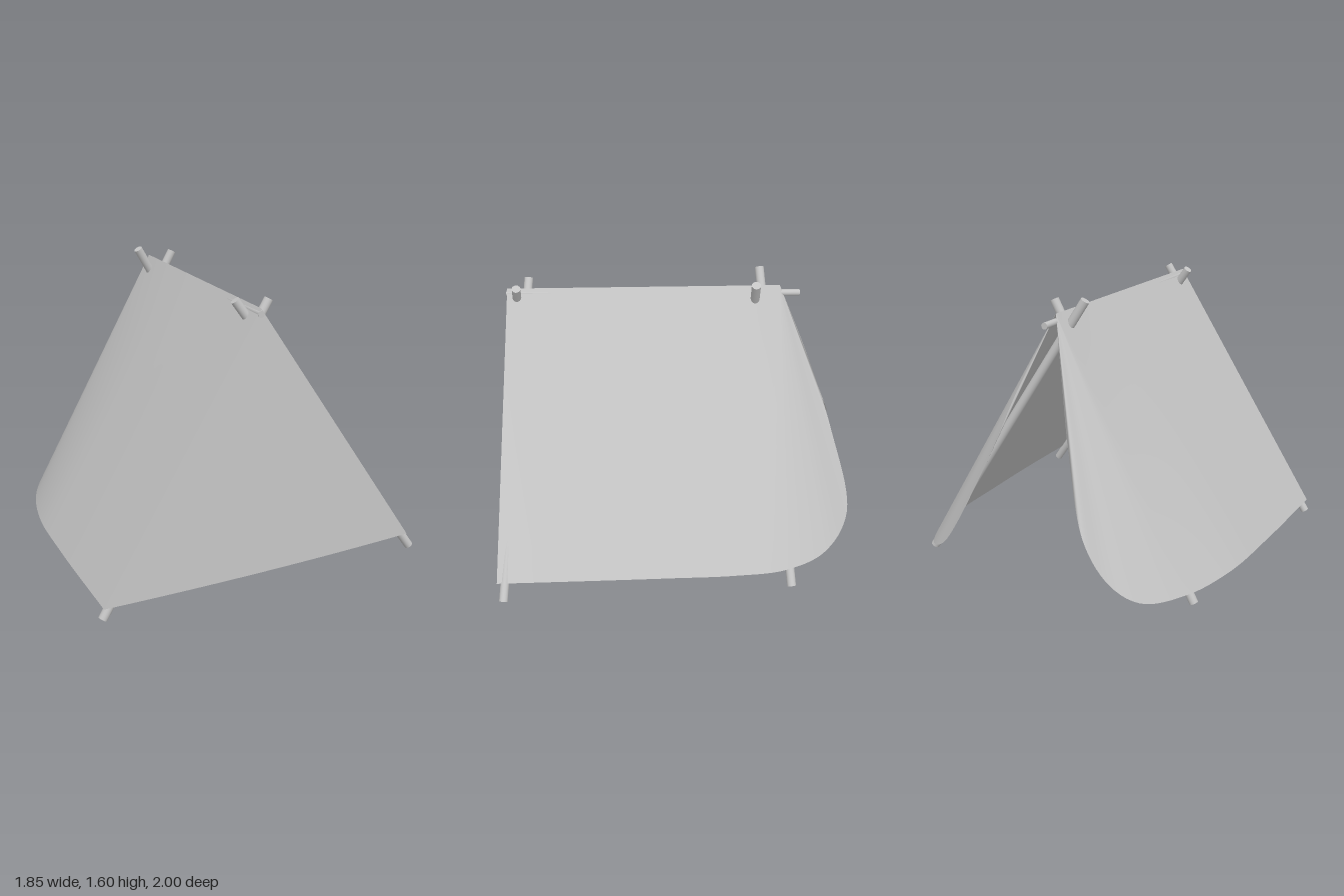
import * as THREE from 'three';

const V = (x, y, z) => new THREE.Vector3(x, y, z);
const RIDGE_FRONT = V(-0.03, 1.515, 0.91);
const RIDGE_BACK = V(-0.05, 1.535, -0.59);

// Straight lines of cloth stretched from a row of top points to a row of hem points
function ruledSurface(tops, hems, rows, flip) {
  const pos = [], idx = [], p = V();
  for (let i = 0; i < hems.length; i++) {
    for (let j = 0; j <= rows; j++) {
      p.lerpVectors(tops[i], hems[i], j / rows);
      pos.push(p.x, p.y, p.z);
      if (i < hems.length - 1 && j < rows) {
        const a = i * (rows + 1) + j, b = a + rows + 1;
        if (flip) idx.push(a, a + 1, b, b, a + 1, b + 1);
        else idx.push(a, b, a + 1, b, b + 1, a + 1);
      }
    }
  }
  const geo = new THREE.BufferGeometry();
  geo.setAttribute('position', new THREE.Float32BufferAttribute(pos, 3));
  geo.setIndex(idx);
  geo.computeVertexNormals();
  return geo;
}

// Side cloth: flat along the ridge, then a cone from the ridge end that curls inwards
function sideGeometry(hemPoints, flip) {
  const curve = new THREE.CatmullRomCurve3([...hemPoints.map((p) => V(...p)), RIDGE_BACK], false, 'centripetal');
  const hems = curve.getSpacedPoints(90);
  let z = RIDGE_FRONT.z;
  const tops = hems.map((h) => {
    z = Math.max(RIDGE_BACK.z, Math.min(z, h.z * 0.97));
    const t = (RIDGE_FRONT.z - z) / (RIDGE_FRONT.z - RIDGE_BACK.z);
    return V().lerpVectors(RIDGE_FRONT, RIDGE_BACK, t);
  });
  return ruledSurface(tops, hems, 8, flip);
}

// Round pole between two points
function pole(a, b, radius, material, name) {
  const dir = V().subVectors(b, a);
  const mesh = new THREE.Mesh(new THREE.CylinderGeometry(radius, radius, dir.length(), 16), material);
  mesh.position.addVectors(a, b).multiplyScalar(0.5);
  mesh.quaternion.setFromUnitVectors(V(0, 1, 0), dir.normalize());
  mesh.name = name;
  return mesh;
}

export function createModel() {
  const group = new THREE.Group();
  group.name = 'tent';
  const grey = new THREE.MeshStandardMaterial({ color: 0xc4c4c4, side: THREE.DoubleSide });
  grey.name = 'plain grey';

  const add = (geo, name) => {
    const mesh = new THREE.Mesh(geo, grey);
    mesh.name = name;
    group.add(mesh);
  };

  // Side cloths, hem listed from the front corner round to the back opening
  const leftHem = [
    [0.87, 0.175, 0.945], [0.845, 0.18, 0.4], [0.82, 0.18, 0], [0.795, 0.18, -0.35],
    [0.74, 0.18, -0.64], [0.6, 0.205, -0.87], [0.4, 0.33, -1.0], [0.2, 0.76, -0.9], [0.08, 1.16, -0.755],
  ];
  const rightHem = [
    [-0.9, 0.105, 1.0], [-0.912, 0.108, 0.3], [-0.9, 0.11, -0.18], [-0.82, 0.115, -0.56],
    [-0.69, 0.15, -0.82], [-0.57, 0.26, -0.925], [-0.44, 0.48, -0.966], [-0.25, 0.87, -0.8], [-0.13, 1.24, -0.67],
  ];
  add(sideGeometry(leftHem, false), 'leftCloth');
  add(sideGeometry(rightHem, true), 'rightCloth');

  // Front cloth with a slightly sagging hem
  const frontHem = new THREE.QuadraticBezierCurve3(V(...rightHem[0]), V(0, 0.112, 0.968), V(...leftHem[0])).getPoints(16);
  add(ruledSurface(frontHem.map(() => RIDGE_FRONT), frontHem, 6, false), 'frontCloth');

  // Crossed poles and the ridge pole
  group.add(
    pole(V(0.91, 0.085, 0.91), V(-0.12, 1.54, 0.8), 0.024, grey, 'frontLeftPole'),
    pole(V(-0.9, 0.04, 0.975), V(0.04, 1.545, 0.85), 0.024, grey, 'frontRightPole'),
    pole(V(0.755, 0.08, -0.67), V(-0.16, 1.595, -0.48), 0.025, grey, 'backLeftPole'),
    pole(V(-0.81, 0.015, -0.45), V(0.045, 1.575, -0.455), 0.025, grey, 'backRightPole'),
    pole(V(-0.03, 1.485, 0.915), V(-0.05, 1.492, -0.7), 0.018, grey, 'ridgePole'),
  );
  return group;
}
